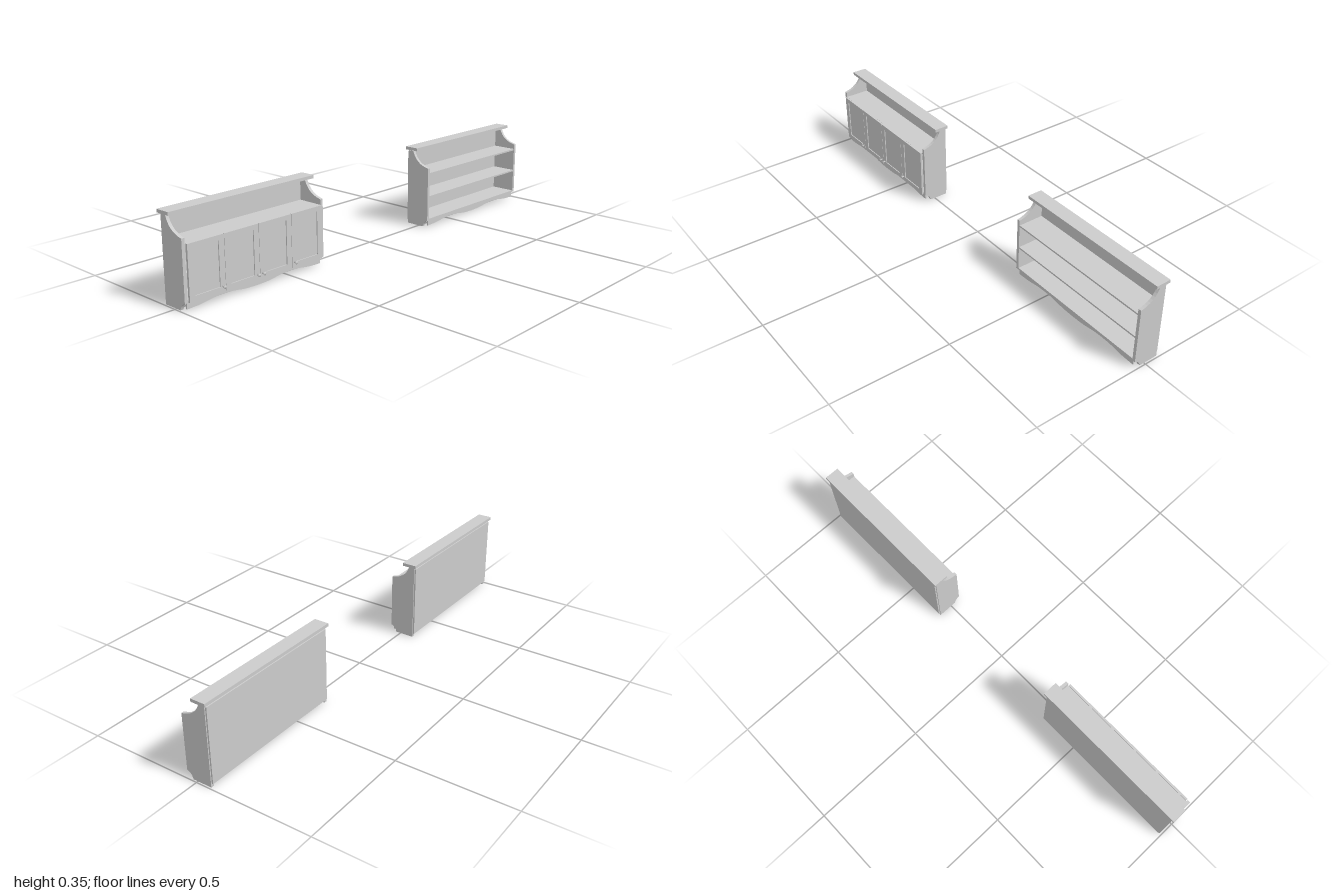
import * as THREE from 'three';

const material = new THREE.MeshStandardMaterial({ color: 0xcccccc, side: THREE.DoubleSide });

function addMesh(parent, name, geometry) {
  const mesh = new THREE.Mesh(geometry, material);
  mesh.name = name;
  parent.add(mesh);
  return mesh;
}

// Box given by its minimum and maximum on each axis
function addBox(parent, name, [x0, x1], [y0, y1], [z0, z1]) {
  const mesh = addMesh(parent, name, new THREE.BoxGeometry(x1 - x0, y1 - y0, z1 - z0));
  mesh.position.set((x0 + x1) / 2, (y0 + y1) / 2, (z0 + z1) / 2);
  return mesh;
}

// Shape drawn in (z, y), given thickness from x0 to x1
function extrudeAlongX(shape, x0, x1) {
  return new THREE.ExtrudeGeometry(shape, { depth: x1 - x0, bevelEnabled: false, curveSegments: 10 })
    .rotateY(-Math.PI / 2)
    .translate(x1, 0, 0);
}

function rectangle(path, z0, z1, y0, y1) {
  path.moveTo(z0, y0);
  path.lineTo(z1, y0);
  path.lineTo(z1, y1);
  path.lineTo(z0, y1);
  path.closePath();
  return path;
}

const HALF = 0.343;   // half width of the top board
const OUTER = 0.335;  // outer face of the side panels
const INNER = 0.322;  // inner face of the side panels

// Side panel with a scooped upper front and a notched foot
function sideGeometry() {
  const s = new THREE.Shape();
  s.moveTo(-0.062, 0);
  s.lineTo(0.021, 0);
  s.lineTo(0.022, 0.003);
  s.quadraticCurveTo(0.029, 0.026, 0.048, 0.03);
  s.lineTo(0.048, 0.266);
  s.bezierCurveTo(0.005, 0.274, -0.022, 0.292, -0.036, 0.332);
  s.lineTo(-0.062, 0.332);
  s.closePath();
  return new THREE.ExtrudeGeometry(s, { depth: OUTER - INNER, bevelEnabled: false, curveSegments: 8 });
}

// Apron with two shallow arches along its lower edge
function apronGeometry() {
  const s = new THREE.Shape();
  s.moveTo(-INNER, 0.032);
  s.lineTo(-INNER, 0.005);
  for (const z of [-INNER, 0]) {
    s.lineTo(z + 0.03, 0.006);
    s.bezierCurveTo(z + 0.09, 0.007, z + 0.09, 0.017, z + INNER / 2, 0.017);
    s.bezierCurveTo(z + INNER - 0.09, 0.017, z + INNER - 0.09, 0.007, z + INNER - 0.03, 0.006);
    s.lineTo(z + INNER, 0.005);
  }
  s.lineTo(INNER, 0.032);
  s.closePath();
  return extrudeAlongX(s, 0.036, 0.042);
}

// Framed door with a recessed panel and a turned knob
function createDoor(z0, z1, knobZ) {
  const door = new THREE.Group();
  door.name = 'door';
  const frame = rectangle(new THREE.Shape(), z0, z1, 0.031, 0.245);
  frame.holes.push(rectangle(new THREE.Path(), z0 + 0.024, z1 - 0.024, 0.052, 0.226));
  addMesh(door, 'doorFrame', extrudeAlongX(frame, 0.048, 0.057));
  addBox(door, 'doorPanel', [0.0485, 0.053], [0.05, 0.228], [z0 + 0.022, z1 - 0.022]);

  const profile = [[0, 0], [0.004, 0], [0.003, 0.003], [0.003, 0.008], [0.0065, 0.009], [0.0065, 0.012], [0, 0.0135]]
    .map(([r, h]) => new THREE.Vector2(r, h));
  const knob = addMesh(door, 'knob', new THREE.LatheGeometry(profile, 16).rotateZ(-Math.PI / 2));
  knob.position.set(0.057, 0.052, knobZ);
  return door;
}

function createCabinet(name, withDoors) {
  const cabinet = new THREE.Group();
  cabinet.name = name;

  addBox(cabinet, 'topBoard', [-0.072, -0.009], [0.336, 0.349], [-HALF, HALF]);
  addBox(cabinet, 'backPanel', [-0.068, -0.062], [0.0145, 0.328], [-OUTER + 0.004, OUTER - 0.004]);

  const side = sideGeometry();
  addMesh(cabinet, 'leftSide', side).position.z = -OUTER;
  addMesh(cabinet, 'rightSide', side).position.z = INNER;

  // Bottom, middle and upper shelves
  for (const y of [0.03, 0.133, 0.237]) {
    addBox(cabinet, 'shelf', [-0.062, 0.047], [y, y + 0.007], [-INNER, INNER]);
  }
  addMesh(cabinet, 'apron', apronGeometry());

  if (withDoors) {
    const width = 0.16;
    for (let i = 0; i < 4; i++) {
      const z0 = -2 * width + i * width + 0.0007;
      const z1 = z0 + width - 0.0014;
      // Knobs sit toward the centre of the cabinet's left-hand and right-hand pairs
      cabinet.add(createDoor(z0, z1, i < 2 ? z1 - 0.012 : z0 + 0.012));
    }
  }
  return cabinet;
}

export function createModel() {
  const model = new THREE.Group();
  model.name = 'cabinetPair';
  const closed = createCabinet('cabinetWithDoors', true);
  closed.position.z = 0.657;
  const open = createCabinet('openShelfCabinet', false);
  open.position.z = -0.657;
  model.add(closed, open);
  return model;
}
